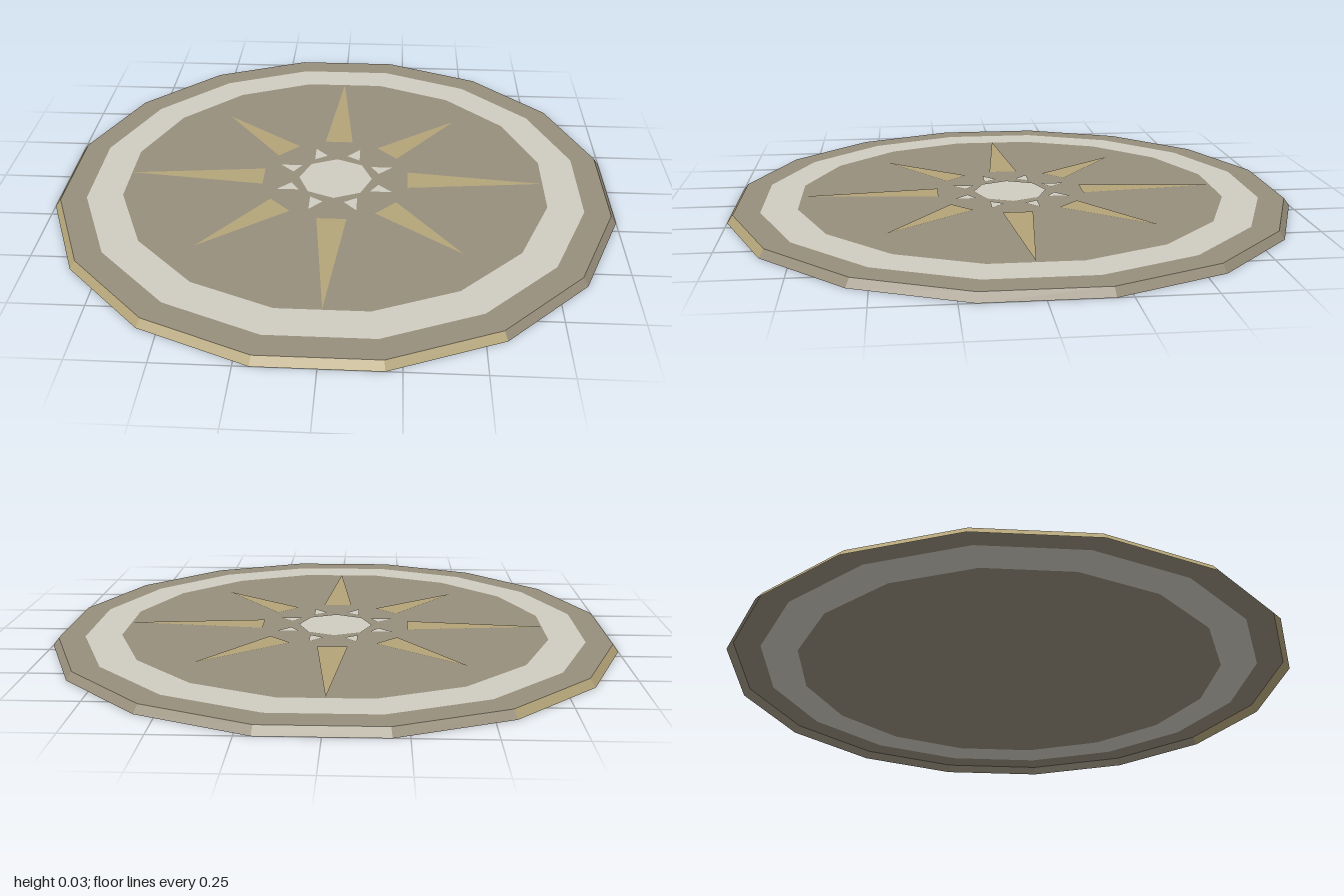
import * as THREE from 'three';

const H = 0.027;          // height of the top face
const SIDES = 16;
const HALF_STEP = Math.PI / SIDES;

export function createModel() {
  const group = new THREE.Group();
  group.name = 'roundMedallion';

  const mat = (name, color) => {
    const m = new THREE.MeshStandardMaterial({ color, flatShading: true, side: THREE.DoubleSide });
    m.name = name;
    return m;
  };
  const stone = mat('grey brown stone', 0x988f7c);
  const tan = mat('tan stone', 0xb3a479);
  const pale = mat('pale stone', 0xcfccc1);

  const add = (name, geometry, material) => {
    const mesh = new THREE.Mesh(geometry, material);
    mesh.name = name;
    group.add(mesh);
    return mesh;
  };
  // Lays a flat geometry drawn in xy onto the top face
  const lay = (geometry, y) => geometry.rotateX(-Math.PI / 2).translate(0, y, 0);

  // Sloping rim, open below: one half tan, one half grey
  const rimHalf = (name, start, material) => add(name,
    new THREE.CylinderGeometry(1.0, 1.02, H, SIDES / 2, 1, true, start, Math.PI).translate(0, H / 2, 0),
    material);
  rimHalf('rimTan', THREE.MathUtils.degToRad(213.75), tan);
  rimHalf('rimGrey', THREE.MathUtils.degToRad(33.75), stone);

  // Top face in flush bands
  const band = (name, inner, outer, material) => add(name,
    lay(new THREE.RingGeometry(inner, outer, SIDES, 1, HALF_STEP), H), material);
  band('outerBand', 0.907, 1.0, stone);
  band('paleBand', 0.778, 0.907, pale);
  add('innerField', lay(new THREE.CircleGeometry(0.778, SIDES, HALF_STEP), H), stone);

  // Thin inlays just above the field
  const inlay = (name, points, material, angle) => {
    const shape = new THREE.Shape(points.map(([x, y]) => new THREE.Vector2(x, y)));
    const mesh = add(name, lay(new THREE.ShapeGeometry(shape), H + 0.002), material);
    mesh.rotation.y = angle;
  };

  // Eight star rays, the diagonal ones shorter
  for (let i = 0; i < 8; i++) {
    const tip = i % 2 ? 0.64 : 0.76;
    inlay('ray', [[-0.053, 0.267], [0.053, 0.267], [0, tip]], tan, i * Math.PI / 4);
  }

  // Small paired chips around the centre
  for (let i = 0; i < 4; i++) {
    for (const s of [-1, 1]) {
      inlay('chip', [[s * 0.085, 0.21], [s * 0.038, 0.16], [s * 0.085, 0.13]], pale, i * Math.PI / 2);
    }
  }

  // Central octagon
  add('centreOctagon', lay(new THREE.CircleGeometry(0.135, 8), H + 0.002), pale);

  return group;
}
